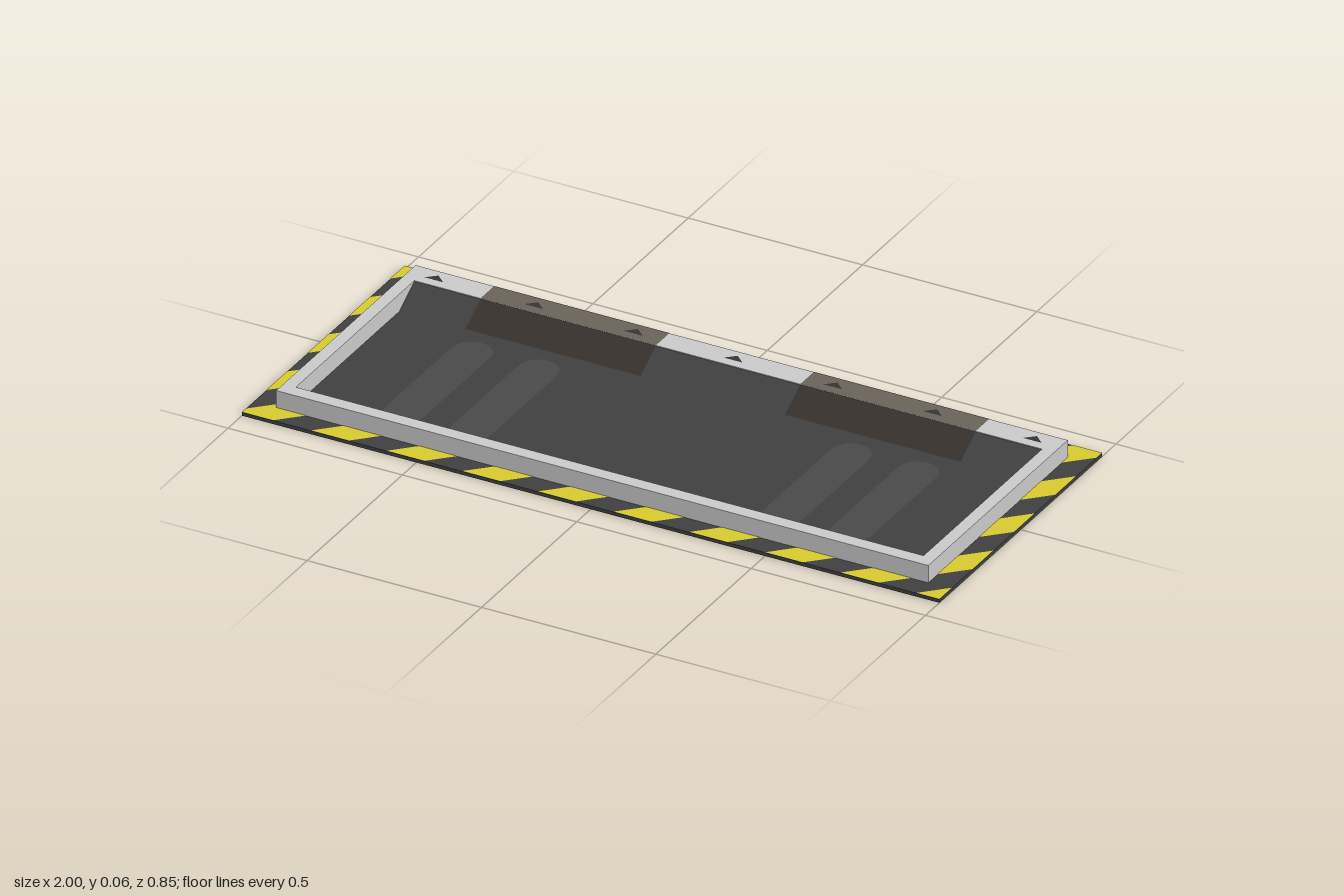
import * as THREE from 'three';

const paint = (color) => new THREE.MeshStandardMaterial({ color, side: THREE.DoubleSide });
const grey = paint(0xcccccc), dark = paint(0x404040), yellow = paint(0xd9cb30);
const padPaint = paint(0x4a4a4a), arrowPaint = paint(0x353535);
const rimStain = paint(0x6b635a), rampStain = paint(0x36312c);

// Shape in plan from [x, z] points; z is stored negated so it lies flat facing up.
const plan = (points) => new THREE.Shape(points.map(([x, z]) => new THREE.Vector2(x, -z)));
const rect = (x0, x1, z0, z1) => plan([[x0, z0], [x1, z0], [x1, z1], [x0, z1]]);

function add(parent, name, geometry, material) {
  const mesh = new THREE.Mesh(geometry, material);
  mesh.name = name;
  parent.add(mesh);
  return mesh;
}

// Flat marking at height y
function flat(shape, y) {
  return new THREE.ShapeGeometry(shape, 4).rotateX(-Math.PI / 2).translate(0, y, 0);
}

// Rectangular ring standing on y = 0
function ring(outer, inner, height) {
  const shape = rect(...outer);
  shape.holes.push(rect(...inner));
  return new THREE.ExtrudeGeometry(shape, { depth: height, bevelEnabled: false }).rotateX(-Math.PI / 2);
}

// Sloped sheet spanning x0..x1, from the rim down to the floor
function slope(x0, x1, lift) {
  const zBack = -0.295, zFront = -0.215, top = 0.058 + lift, bottom = 0.01 + lift;
  const length = Math.hypot(zFront - zBack, top - bottom);
  return new THREE.PlaneGeometry(x1 - x0, length)
    .rotateX(-Math.PI / 2 + Math.atan2(top - bottom, zFront - zBack))
    .translate((x0 + x1) / 2, (top + bottom) / 2, (zBack + zFront) / 2);
}

// Keep the part of a polygon where sign * (x + z - limit) >= 0
function clip(points, limit, sign) {
  const out = [];
  points.forEach((p, i) => {
    const q = points[(i + 1) % points.length];
    const a = sign * (p[0] + p[1] - limit), b = sign * (q[0] + q[1] - limit);
    if (a >= 0) out.push(p);
    if (a * b < 0) {
      const t = a / (a - b);
      out.push([p[0] + (q[0] - p[0]) * t, p[1] + (q[1] - p[1]) * t]);
    }
  });
  return out;
}

export function createModel() {
  const model = new THREE.Group();
  model.name = 'loadingPit';

  // Border plate and raised frame
  const outer = [-1, 1, -0.427, 0.427];
  const frame = [-0.935, 0.935, -0.366, 0.366];
  add(model, 'borderPlate', ring(outer, frame, 0.01), dark);
  add(model, 'frame', ring(frame, [-0.9, 0.9, -0.295, 0.327], 0.06), grey);

  // Diagonal hazard stripes on each side of the border
  const stripes = new THREE.Group();
  stripes.name = 'hazardStripes';
  model.add(stripes);
  const sides = [
    [-1, 1, -0.427, -0.366], [-1, 1, 0.366, 0.427],
    [-1, -0.935, -0.366, 0.366], [0.935, 1, -0.366, 0.366],
  ];
  const period = 0.217;
  for (const [x0, x1, z0, z1] of sides) {
    for (let s = -1.46; s < 1.45; s += period) {
      const corners = [[x0, z0], [x1, z0], [x1, z1], [x0, z1]];
      const piece = clip(clip(corners, s, 1), s + period / 2, -1);
      if (piece.length > 2) add(stripes, 'hazardStripe', flat(plan(piece), 0.011), yellow);
    }
  }

  // Floor and the ramp along its back edge
  add(model, 'floor', flat(rect(-0.9, 0.9, -0.215, 0.327), 0.01), dark);
  add(model, 'ramp', slope(-0.9, 0.9, 0), dark);

  // Worn patches over the rim and ramp
  for (const side of [-1, 1]) {
    const [x0, x1] = side < 0 ? [-0.71, -0.207] : [0.207, 0.71];
    add(model, 'rimPatch', flat(rect(x0, x1, -0.366, -0.295), 0.0607), rimStain);
    add(model, 'rampPatch', slope(x0, x1, 0.0012), rampStain);
  }

  // Rounded wheel tracks on the floor
  const r = 0.055;
  for (const x of [-0.64, -0.448, 0.448, 0.64]) {
    const track = new THREE.Shape();
    track.absarc(x, 0.172 - r, r, 0, Math.PI, false);
    track.absarc(x, -0.287 + r, r, Math.PI, Math.PI * 2, false);
    add(model, 'wheelTrack', flat(track, 0.0115), padPaint);
  }

  // Arrow marks along the back rim
  for (let i = -3; i <= 3; i++) {
    const x = i * 0.286;
    add(model, 'arrowMark', flat(plan([[x - 0.027, -0.32], [x + 0.027, -0.32], [x, -0.345]]), 0.0614), arrowPaint);
  }

  return model;
}
